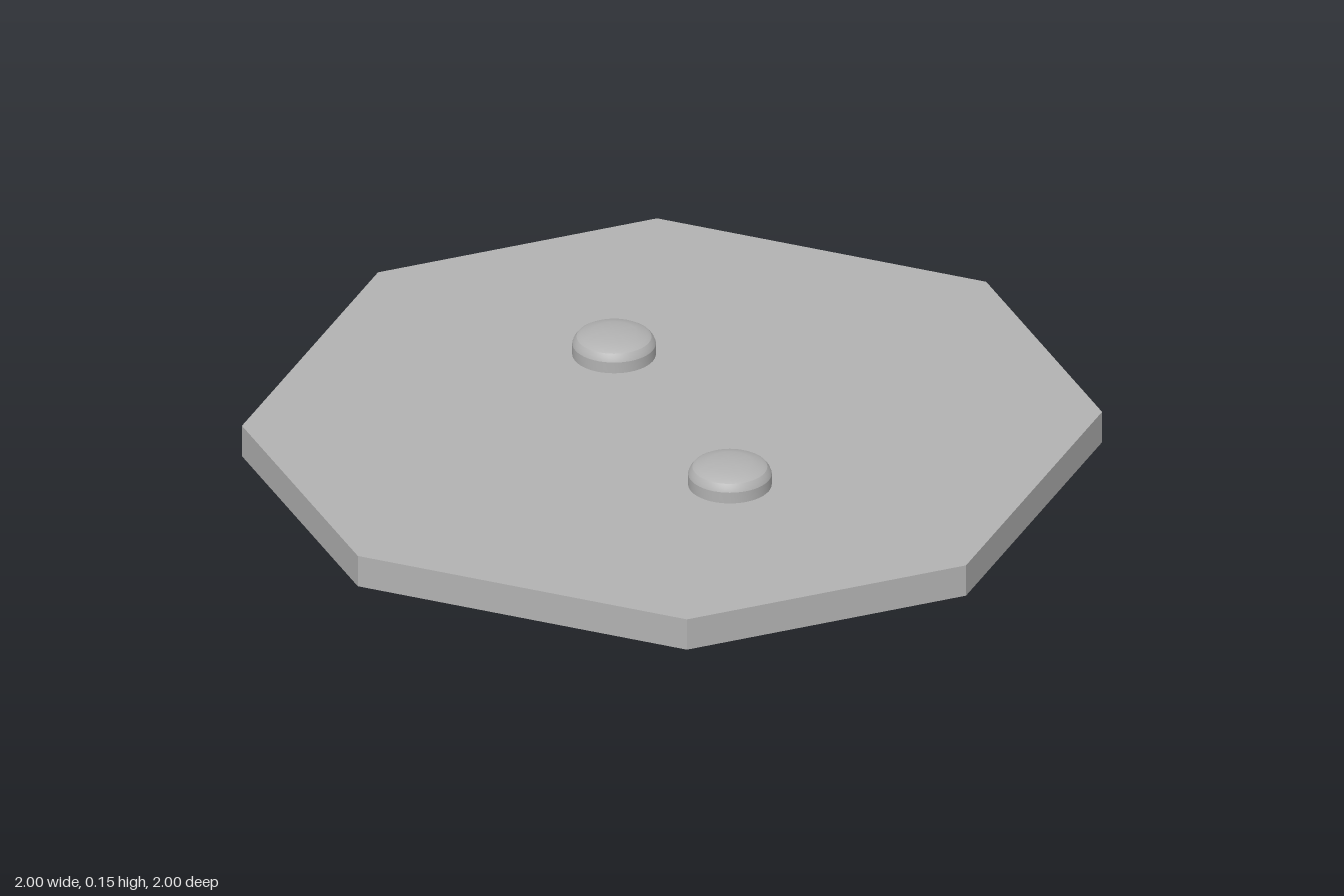
import * as THREE from 'three';
import { toCreasedNormals } from 'three/addons/utils/BufferGeometryUtils.js';

const PLATE_TOP = 0.085;
const CORNER = 0.375; // where the cut corners start
const STUD_Z = 0.375;
const HOLE_R = 0.065;
const SEGMENTS = 48;

const lathe = (points) => toCreasedNormals(
  new THREE.LatheGeometry(points.map(([r, y]) => new THREE.Vector2(r, y)), SEGMENTS), 0.35);

export function createModel() {
  const model = new THREE.Group();
  model.name = 'octagonalPlate';
  const grey = new THREE.MeshStandardMaterial({ color: 0xb2b2b2 });
  grey.name = 'light grey';

  const add = (geometry, name, z = 0) => {
    const mesh = new THREE.Mesh(geometry, grey);
    mesh.name = name;
    mesh.position.z = z;
    model.add(mesh);
  };

  // Octagonal slab with two round openings
  const c = CORNER;
  const outline = [[1, -c], [1, c], [c, 1], [-c, 1], [-1, c], [-1, -c], [-c, -1], [c, -1]];
  const shape = new THREE.Shape(outline.map(([x, y]) => new THREE.Vector2(x, y)));
  for (const side of [1, -1]) {
    const hole = new THREE.Path();
    hole.absarc(0, side * STUD_Z, HOLE_R, 0, Math.PI * 2, true);
    shape.holes.push(hole);
  }
  const slab = new THREE.ExtrudeGeometry(shape, {
    depth: PLATE_TOP, bevelEnabled: false, curveSegments: SEGMENTS,
  });
  slab.rotateX(-Math.PI / 2);
  add(toCreasedNormals(slab, 0.35), 'plate');

  for (const [side, label] of [[1, 'front'], [-1, 'back']]) {
    // Domed stud with a rounded shoulder
    add(lathe([
      [0.104, PLATE_TOP], [0.104, 0.115], [0.1, 0.125], [0.093, 0.134],
      [0.083, 0.14], [0.056, 0.146], [0.028, 0.149], [0, 0.15],
    ]), label + 'Stud', side * STUD_Z);

    // Hollow inside the stud, closed at its top
    add(lathe([[0, 0.1], [HOLE_R, 0.1], [HOLE_R, PLATE_TOP]]), label + 'StudHollow', side * STUD_Z);
  }
  return model;
}
